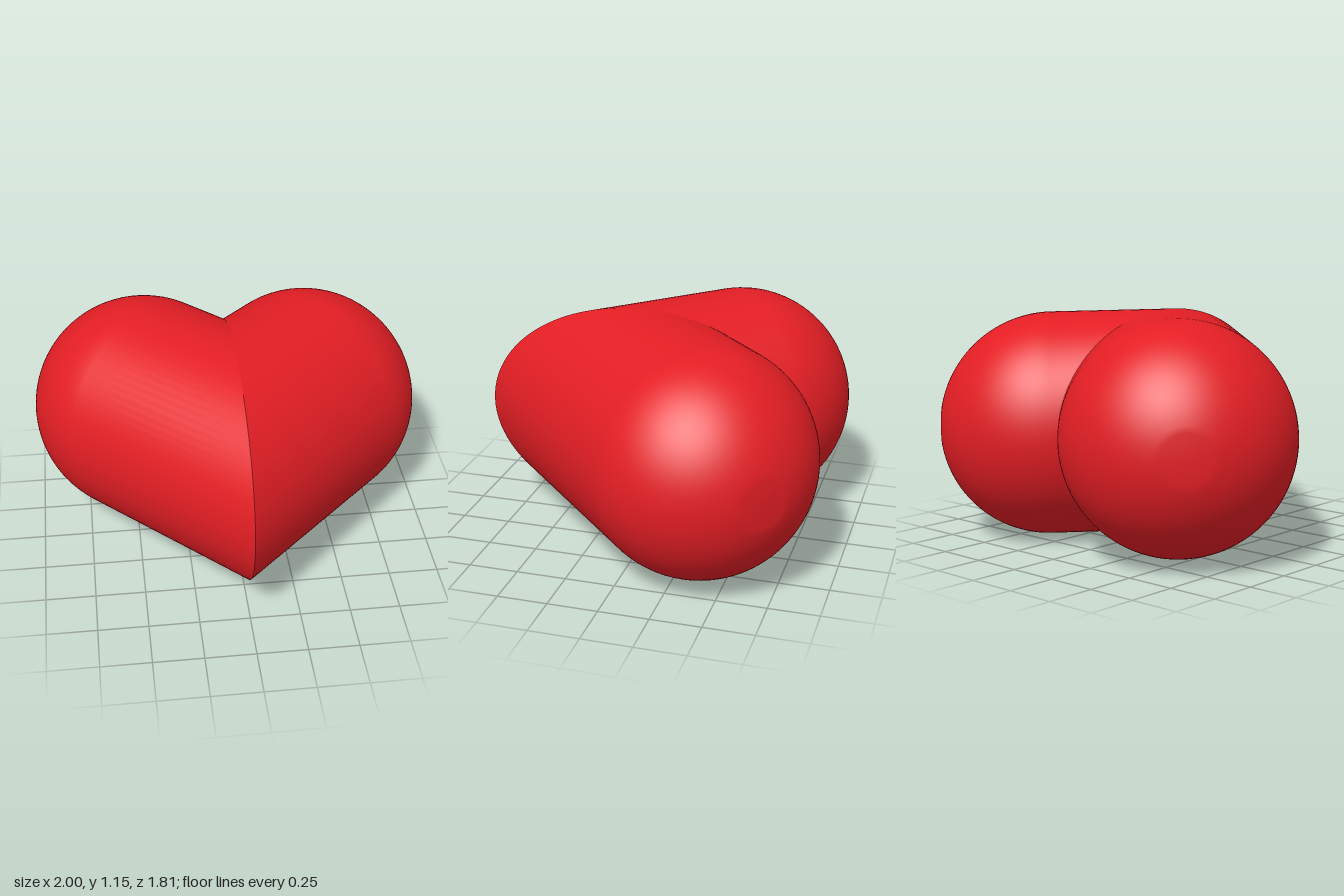
import * as THREE from 'three';
import { mergeVertices } from 'three/addons/utils/BufferGeometryUtils.js';

const R = 0.571;          // lobe radius
const CAP = 0.541;        // where the straight barrel meets the round end
const AXIS = 0.0475;      // half of x + z along the lobe axis
const MID = 0.586;        // height of the lobe axis
const SLOPE = 0.028;      // the left lobe dips slightly

// One half of the heart: a round-ended barrel at 45 degrees, mitred on x = 0
function lobeGeometry(side) {
  const profile = [new THREE.Vector2(R, 0)];
  const steps = 24;
  for (let i = 0; i <= steps; i++) {
    const a = (i / steps) * THREE.MathUtils.degToRad(78);
    profile.push(new THREE.Vector2(R * Math.cos(a), CAP + R * Math.sin(a)));
  }
  profile.push(new THREE.Vector2(0, CAP + R * 0.985)); // slightly flattened pole

  let geo = new THREE.LatheGeometry(profile, 96);
  const p = geo.attributes.position;
  for (let i = 0; i < p.count; i++) {
    const v = p.getX(i);
    let u = p.getY(i);
    if (u === 0) u = -v - AXIS * Math.SQRT2; // mitre cut
    const x = (u + v) * Math.SQRT1_2 + AXIS;
    const z = (v - u) * Math.SQRT1_2 + AXIS;
    const dip = side > 0 ? SLOPE * Math.max(x, 0) : 0;
    p.setXYZ(i, side * x, MID + side * p.getZ(i) - dip, z);
  }
  geo.deleteAttribute('uv');
  geo.deleteAttribute('normal');
  geo = mergeVertices(geo, 1e-5);
  geo.computeVertexNormals();
  return geo;
}

export function createModel() {
  const heart = new THREE.Group();
  heart.name = 'heart';
  const red = new THREE.MeshStandardMaterial({ color: 0xe31e24 });
  for (const [name, side] of [['leftLobe', 1], ['rightLobe', -1]]) {
    const lobe = new THREE.Mesh(lobeGeometry(side), red);
    lobe.name = name;
    heart.add(lobe);
  }
  return heart;
}
